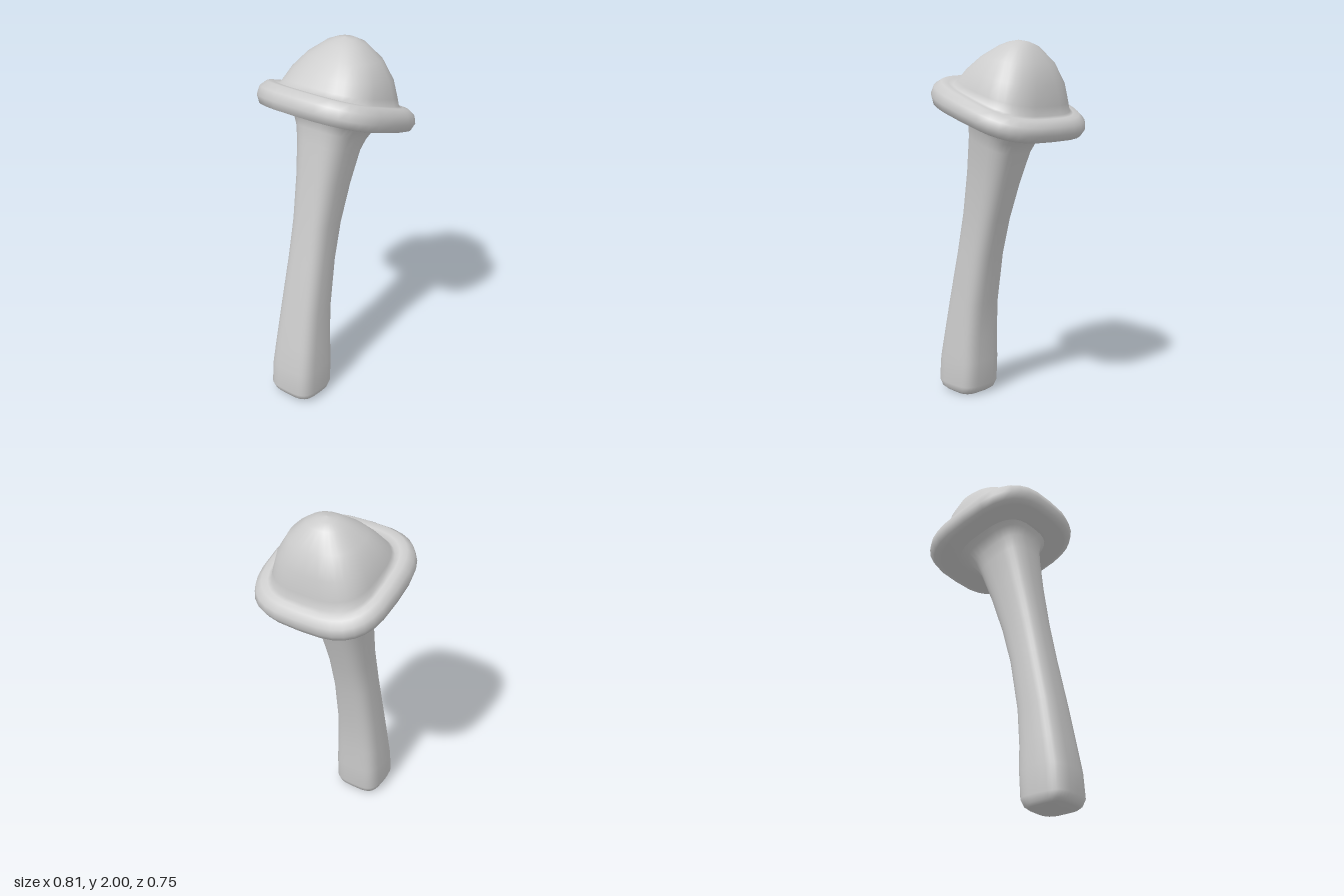
import * as THREE from 'three';

const SIDES = 32;

// Skins a stack of rounded-square rings, listed bottom to top.
// Each ring: [leftX, leftY, rightX, rightY, halfDepth, squareness]
function loft(name, rings, material) {
  const pos = [], index = [];
  const soft = (v, n) => Math.sign(v) * Math.pow(Math.abs(v), 2 / n);
  rings.forEach(([lx, ly, rx, ry, hz, n], i) => {
    for (let j = 0; j < SIDES; j++) {
      const a = (j / SIDES) * Math.PI * 2;
      const c = soft(Math.cos(a), n), s = soft(Math.sin(a), n);
      pos.push((lx + rx) / 2 + (c * (rx - lx)) / 2, (ly + ry) / 2 + (c * (ry - ly)) / 2, s * hz);
      if (i === rings.length - 1) continue;
      const k = (j + 1) % SIDES, p = i * SIDES, q = p + SIDES;
      index.push(p + j, q + j, p + k, p + k, q + j, q + k);
    }
  });
  const geo = new THREE.BufferGeometry();
  geo.setAttribute('position', new THREE.Float32BufferAttribute(pos, 3));
  geo.setIndex(index);
  geo.computeVertexNormals();
  const mesh = new THREE.Mesh(geo, material);
  mesh.name = name;
  return mesh;
}

export function createModel() {
  const group = new THREE.Group();
  group.name = 'mushroom';
  const grey = new THREE.MeshStandardMaterial({ color: 0xcccccc });

  // Curved stem: square foot, slim waist, flared neck running into the cap
  group.add(loft('stem', [
    [-0.27, 0.012, -0.265, 0.012, 0.002, 3],
    [-0.375, 0.016, -0.165, 0.005, 0.115, 3.6],
    [-0.395, 0.03, -0.145, 0.02, 0.13, 3.6],
    [-0.41, 0.065, -0.13, 0.055, 0.142, 3.6],
    [-0.40, 0.2, -0.122, 0.2, 0.14, 3.6],
    [-0.375, 0.34, -0.12, 0.34, 0.133, 3.4],
    [-0.335, 0.56, -0.104, 0.54, 0.122, 3.2],
    [-0.277, 0.84, -0.055, 0.82, 0.114, 3],
    [-0.235, 1.06, 0.0, 1.02, 0.112, 3],
    [-0.195, 1.3, 0.07, 1.23, 0.126, 3],
    [-0.167, 1.5, 0.135, 1.4, 0.147, 3],
    [-0.158, 1.58, 0.165, 1.45, 0.165, 3],
    [-0.16, 1.635, 0.215, 1.5, 0.19, 3],
    [-0.185, 1.67, 0.27, 1.515, 0.24, 3],
  ], grey));

  // Tilted brim: flat underside, rolled edge, groove on top, then the dome
  group.add(loft('cap', [
    [0.03, 1.59, 0.05, 1.583, 0.01, 3],
    [-0.16, 1.65, 0.22, 1.522, 0.2, 3],
    [-0.27, 1.685, 0.345, 1.477, 0.33, 3],
    [-0.3, 1.7, 0.38, 1.482, 0.36, 3.1],
    [-0.306, 1.745, 0.404, 1.515, 0.376, 3.1],
    [-0.29, 1.79, 0.404, 1.555, 0.366, 3.1],
    [-0.25, 1.813, 0.378, 1.588, 0.337, 3.1],
    [-0.215, 1.803, 0.35, 1.598, 0.305, 3.1],
    [-0.188, 1.79, 0.335, 1.612, 0.286, 3.1],
    [-0.165, 1.808, 0.331, 1.66, 0.277, 3],
    [-0.12, 1.86, 0.322, 1.765, 0.25, 2.8],
    [-0.055, 1.921, 0.285, 1.878, 0.193, 2.5],
    [0.025, 1.973, 0.218, 1.967, 0.106, 2.2],
    [0.07, 1.992, 0.172, 1.991, 0.054, 2],
    [0.119, 2.0, 0.121, 2.0, 0.001, 2],
  ], grey));

  return group;
}
